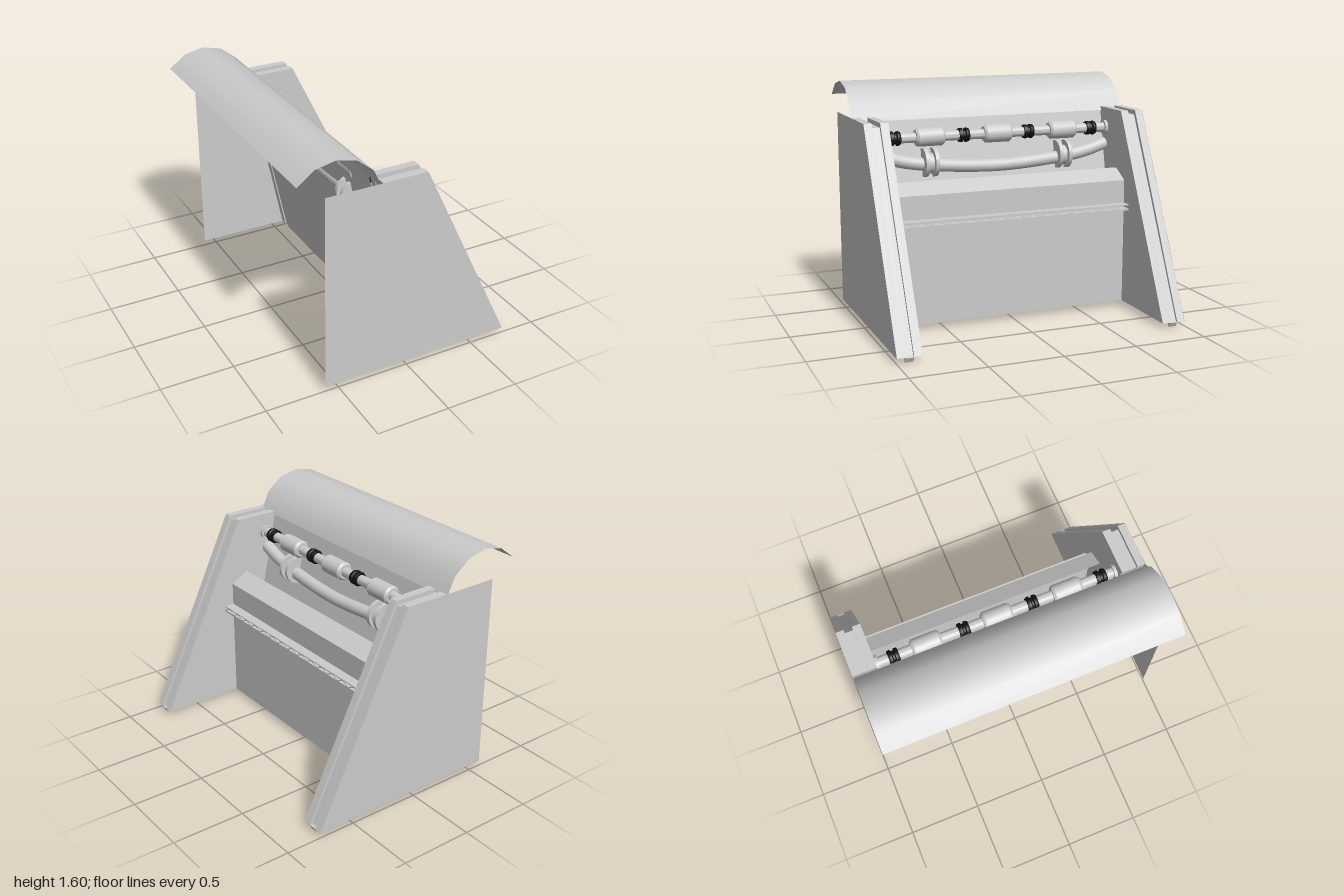
import * as THREE from 'three';
import { toCreasedNormals } from 'three/addons/utils/BufferGeometryUtils.js';

const grey = new THREE.MeshStandardMaterial({ color: 0xcccccc });
const sheetGrey = new THREE.MeshStandardMaterial({ color: 0xcccccc, side: THREE.DoubleSide });
const black = new THREE.MeshStandardMaterial({ color: 0x111111 });

const INNER = 0.835; // half the clear width between the side frames

function add(parent, name, geometry, material = grey, x = 0, y = 0, z = 0) {
  const mesh = new THREE.Mesh(geometry, material);
  mesh.name = name;
  mesh.position.set(x, y, z);
  parent.add(mesh);
  return mesh;
}

// Thin sheet swept along z from an open x/y profile
function sheet(profile, halfWidth, crease) {
  const positions = [];
  for (let i = 0; i < profile.length - 1; i++) {
    const [ax, ay] = profile[i], [bx, by] = profile[i + 1], h = halfWidth;
    positions.push(ax, ay, h, bx, by, h, bx, by, -h);
    positions.push(ax, ay, h, bx, by, -h, ax, ay, -h);
  }
  const geo = new THREE.BufferGeometry();
  geo.setAttribute('position', new THREE.Float32BufferAttribute(positions, 3));
  geo.computeVertexNormals();
  return toCreasedNormals(geo, crease);
}

const outline = (points) => new THREE.Shape(points.map(([x, y]) => new THREE.Vector2(x, y)));
const plate = (points, depth) =>
  new THREE.ExtrudeGeometry(outline(points), { depth, bevelEnabled: false });

// Turned part whose axis lies along z; profile pairs are [radius, z]
function turned(profile, segments = 32) {
  const geo = new THREE.LatheGeometry(profile.map(([r, z]) => new THREE.Vector2(r, z)), segments);
  geo.rotateX(Math.PI / 2);
  return toCreasedNormals(geo, 0.5);
}
const rod = (radius, length) =>
  turned([[0, -length / 2], [radius, -length / 2], [radius, length / 2], [0, length / 2]]);

// Side frame: thin full sheet outside, three layered strips along the slope
function sideFrame(side) {
  const group = new THREE.Group();
  group.name = side > 0 ? 'frontSideFrame' : 'backSideFrame';
  const panel = [[-0.59, 0.035], [0.755, 0.035], [0.105, 1.38], [-0.59, 1.38]];
  const strip = [[0.07, 0.035], [0.755, 0.035], [0.105, 1.38], [-0.205, 1.38]];
  const core = [[0.08, 0.035], [0.72, 0.035], [0.738, 0], [0.753, 0.03], [0.735, 0.04],
    [0.092, 1.35], [-0.195, 1.35]];
  add(group, 'sidePanel', new THREE.ShapeGeometry(outline(panel)), sheetGrey, 0, 0, side);
  const layers = [['outerStrip', strip, 0.945, 0.999], ['coreStrip', core, 0.89, 0.945],
    ['innerStrip', strip, INNER, 0.89]];
  for (const [name, points, near, far] of layers) {
    add(group, name, plate(points, far - near), grey, 0, 0, side > 0 ? near : -far);
  }
  return group;
}

// Shaft with rollers, couplings and end flanges
function rollerShaft() {
  const group = new THREE.Group();
  group.name = 'rollerShaft';
  group.position.set(-0.13, 1.24, 0);
  add(group, 'shaft', rod(0.034, 2 * INNER));
  const roller = turned([[0, -0.1], [0.05, -0.1], [0.0625, -0.085], [0.0625, 0.085],
    [0.05, 0.1], [0, 0.1]]);
  for (const z of [-0.487, 0, 0.487]) add(group, 'roller', roller, grey, 0, 0, z);
  const coupling = turned([[0.034, -0.036], [0.044, -0.036], [0.049, -0.025], [0.049, -0.012],
    [0.038, -0.006], [0.038, 0.006], [0.049, 0.012], [0.049, 0.025], [0.044, 0.036],
    [0.034, 0.036]], 20);
  for (const z of [-0.71, -0.23, 0.245, 0.73]) add(group, 'coupling', coupling, black, 0, 0, z);
  for (const s of [-1, 1]) add(group, 'endFlange', rod(0.05, 0.02), grey, 0, 0, s * (INNER - 0.01));
  return group;
}

// Sagging pipe held by pairs of round collars
function saggingPipe() {
  const group = new THREE.Group();
  group.name = 'saggingPipe';
  const path = new THREE.CatmullRomCurve3([
    [-0.14, 1.125, -INNER], [-0.13, 1.075, -0.65], [-0.12, 1.045, -0.42], [-0.11, 1.022, 0],
    [-0.12, 1.045, 0.42], [-0.13, 1.075, 0.65], [-0.14, 1.125, INNER],
  ].map((p) => new THREE.Vector3(...p)));
  add(group, 'pipe', new THREE.TubeGeometry(path, 48, 0.044, 20), sheetGrey);
  for (const s of [-1, 1]) {
    for (const offset of [-0.034, 0.034]) {
      add(group, 'collar', rod(0.098, 0.026), grey, -0.133, 1.067, s * 0.49 + offset);
    }
    add(group, 'collarHub', rod(0.07, 0.06), grey, -0.133, 1.06, s * 0.49);
  }
  return group;
}

// Ledge on the front plate: two flanges joined by zigzag bracing
function trussRail() {
  const group = new THREE.Group();
  group.name = 'trussRail';
  const depth = 0.07, x = 0.175 + depth / 2;
  add(group, 'lowerFlange', new THREE.BoxGeometry(depth, 0.012, 2 * INNER), grey, x, 0.708, 0);
  add(group, 'upperFlange', new THREE.BoxGeometry(depth, 0.008, 2 * INNER), grey, x, 0.742, 0);
  const count = 30, step = (2 * INNER) / count, rise = 0.026;
  const brace = new THREE.BoxGeometry(0.008, 0.007, Math.hypot(step, rise));
  for (let i = 0; i < count; i++) {
    const bar = add(group, 'brace', brace, grey, 0.24, 0.726, -INNER + (i + 0.5) * step);
    bar.rotation.x = (i % 2 ? 1 : -1) * Math.atan2(rise, step);
  }
  return group;
}

export function createModel() {
  const model = new THREE.Group();
  model.name = 'rollerStand';
  model.add(sideFrame(1), sideFrame(-1));

  // Curved hood that runs down into the sloping back wall
  const hood = [];
  for (let i = 0; i <= 5; i++) {
    const a = THREE.MathUtils.degToRad(13 + (i * 127) / 5);
    hood.push([-0.52 + 0.32 * Math.cos(a), 1.28 + 0.32 * Math.sin(a)]);
  }
  add(model, 'hood', sheet(hood, 0.995, 0.9), sheetGrey);

  // Back wall, floor, front plate and sloping lip folded from one sheet
  const trough = [hood[0], [0.07, 0.035], [0.175, 0.035], [0.175, 0.905], [0.05, 0.975]];
  add(model, 'trough', sheet(trough, INNER, 0.3), sheetGrey);

  model.add(rollerShaft(), saggingPipe(), trussRail());
  return model;
}
